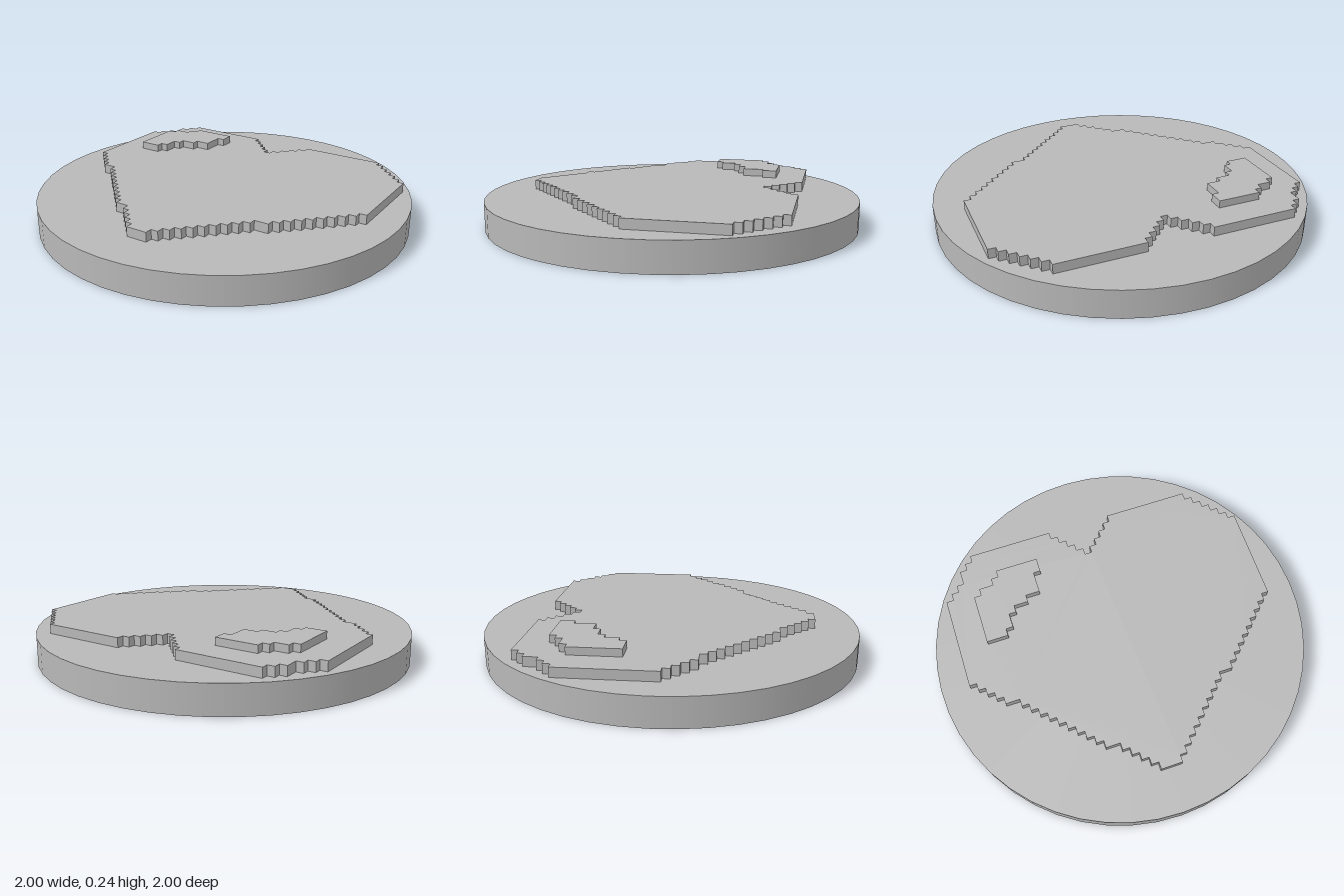
import * as THREE from 'three';

const CELL = 1 / 26; // size of one stair step
const BASE_TOP = 0.15;
const HEART_TOP = 0.2;
const SHINE_TOP = 0.24;

// Stepped outline: each run is [repeats, [dx, dz], [dx, dz]...] in cells
function steppedPlate(name, start, runs, y0, y1, material) {
  let [x, z] = start;
  const points = [new THREE.Vector2(x * CELL, -z * CELL)];
  for (const [count, ...moves] of runs) {
    for (let i = 0; i < count; i++) {
      for (const [dx, dz] of moves) {
        x += dx;
        z += dz;
        points.push(new THREE.Vector2(x * CELL, -z * CELL));
      }
    }
  }
  const geometry = new THREE.ExtrudeGeometry(new THREE.Shape(points), {
    depth: y1 - y0, bevelEnabled: false,
  });
  geometry.rotateX(-Math.PI / 2);
  geometry.translate(0, y0, 0);
  const mesh = new THREE.Mesh(geometry, material);
  mesh.name = name;
  return mesh;
}

export function createModel() {
  const model = new THREE.Group();
  model.name = 'heartToken';
  const grey = new THREE.MeshStandardMaterial({ color: 0xb8b8b8 });
  grey.name = 'grey';

  // Round base disc
  const base = new THREE.Mesh(new THREE.CylinderGeometry(1, 1, BASE_TOP, 48), grey);
  base.name = 'baseDisc';
  base.position.y = BASE_TOP / 2;
  model.add(base);

  // Raised heart, traced from the left side of the notch
  model.add(steppedPlate('heart', [-5, -18], [
    [5, [0, 1], [1, 0]],    // notch, going in
    [4, [0, -1], [1, 0]],   // notch, going out
    [1, [0, -1], [12, 0]],  // right lobe top
    [6, [0, 1], [1, 0]],    // right shoulder
    [1, [0, 13]],           // right side
    [9, [-1, 0], [0, 1]],   // lower right slope
    [1, [-2, 0], [0, 1]],
    [9, [-1, 0], [0, 1]],
    [1, [-3, 0]],           // tip
    [4, [0, -1], [-1, 0]],  // lower left slope
    [1, [0, -1], [-2, 0]],
    [9, [0, -1], [-1, 0]],
    [1, [0, -1], [-2, 0]],
    [4, [0, -1], [-1, 0]],
    [1, [0, -13]],          // left side
    [2, [1, 0], [0, -1]],   // left shoulder
    [1, [1, 0], [0, -2]],
    [2, [1, 0], [0, -1]],
  ], BASE_TOP, HEART_TOP, grey));

  // Raised highlight on the upper left lobe
  model.add(steppedPlate('highlight', [-14, -14], [
    [1, [6, 0], [0, 2], [-1, 0], [0, 3]],
    [2, [-2, 0], [0, 1]],
    [1, [-1, 0], [0, 2], [-1, 0], [0, 1]],
    [1, [-3, 0], [0, -7], [1, 0], [0, -1]],
    [1, [2, 0], [0, -1], [1, 0]],
  ], HEART_TOP, SHINE_TOP, grey));

  return model;
}
